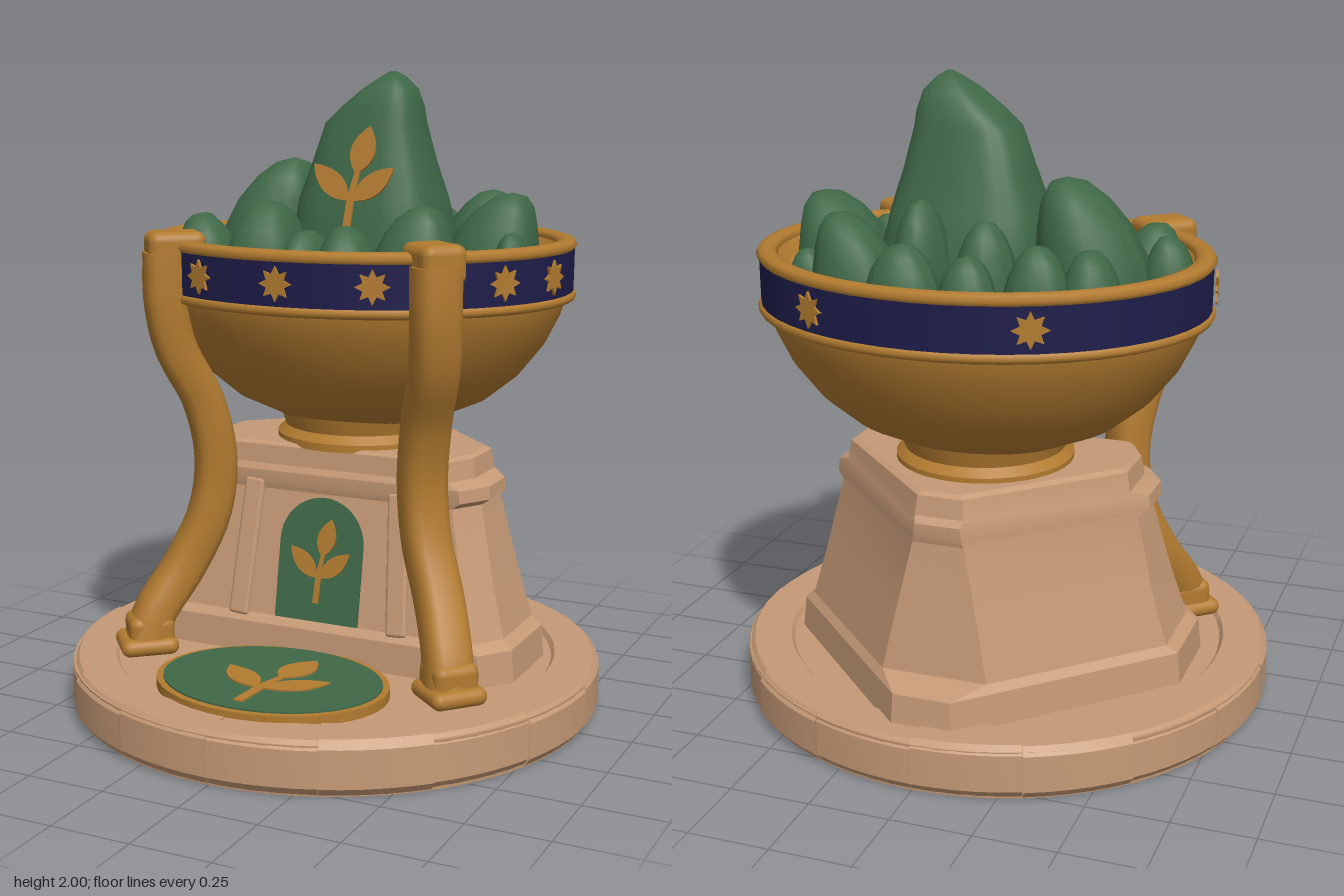
import * as THREE from 'three';
import { toCreasedNormals } from 'three/addons/utils/BufferGeometryUtils.js';
import { RoundedBoxGeometry } from 'three/addons/geometries/RoundedBoxGeometry.js';

const material = (name, color) => Object.assign(new THREE.MeshStandardMaterial({ color }), { name });
const BOWL_Z = -0.2, SQUASH = 0.87, LEG_TURN = 0.85;

export function createModel() {
  const root = new THREE.Group();
  root.name = 'stoneBowlShrine';
  const stone = material('tan stone', 0xc69a76);
  const gold = material('old gold', 0xb27b30);
  const green = material('jade green', 0x3f6847);
  const navy = material('navy blue', 0x1e1d4a);
  navy.side = THREE.DoubleSide;

  const add = (name, geometry, mat, x = 0, y = 0, z = 0, parent = root) => {
    const mesh = new THREE.Mesh(geometry, mat);
    mesh.name = name;
    mesh.position.set(x, y, z);
    parent.add(mesh);
    return mesh;
  };
  const lathe = (pts, segs = 40, start = 0, len = Math.PI * 2) =>
    toCreasedNormals(new THREE.LatheGeometry(pts.map(p => new THREE.Vector2(...p)), segs, start, len), 0.6);
  const soft = (v, e) => Math.sign(v) * Math.abs(v) ** e;

  // Skin over stacked rings of [x, y, z] points, closed at both ends
  const loft = (rings, crease) => {
    const n = rings[0].length, pos = rings.flat(2), index = [];
    for (let r = 0; r < rings.length - 1; r++)
      for (let j = 0; j < n; j++) {
        const a = r * n + j, b = r * n + (j + 1) % n;
        index.push(a, b, a + n, b, b + n, a + n);
      }
    const top = (rings.length - 1) * n;
    for (let j = 1; j < n - 1; j++) index.push(top, top + j, top + j + 1, 0, j + 1, j);
    const g = new THREE.BufferGeometry();
    g.setAttribute('position', new THREE.Float32BufferAttribute(pos, 3));
    g.setIndex(index);
    return toCreasedNormals(g, crease);
  };
  const plate = shape => new THREE.ExtrudeGeometry(shape, { depth: 0.008, bevelEnabled: false, curveSegments: 10 });

  // Sprig emblem: a stem and three leaves, one unit tall
  const leaf = (x0, y0, x1, y1, w) => {
    const dx = x1 - x0, dy = y1 - y0, s = new THREE.Shape();
    s.moveTo(x0, y0);
    s.quadraticCurveTo(x0 + dx * 0.45 + dy * w, y0 + dy * 0.45 - dx * w, x1, y1);
    s.quadraticCurveTo(x0 + dx * 0.45 - dy * w, y0 + dy * 0.45 + dx * w, x0, y0);
    return s;
  };
  const sprig = (name, sx, sy) => {
    const g = new THREE.Group();
    g.name = name;
    const stem = new THREE.Shape([[-0.03, 0], [0.04, 0], [0.055, 0.35], [0.09, 0.62], [0.05, 0.62], [-0.01, 0.35]]
      .map(p => new THREE.Vector2(...p)));
    const shapes = [stem, leaf(0.05, 0.55, 0.14, 1, 0.5), leaf(0, 0.3, -0.36, 0.64, 0.42), leaf(0.04, 0.3, 0.4, 0.62, 0.42)];
    for (const s of shapes) add('sprigPart', plate(s), gold, 0, 0, 0, g).scale.set(sx, sy, 1);
    root.add(g);
    return g;
  };

  // Round base: floor slab and a ring of rim stones
  add('floorSlab', new THREE.CylinderGeometry(0.845, 0.83, 0.155, 60), stone, 0, 0.0775, 0);
  const stones = 16, step = Math.PI * 2 / stones;
  for (let i = 0; i < stones; i++) {
    const r = 0.85 + 0.003 * Math.sin(i * 2.3), h = 0.168 + 0.004 * Math.sin(i * 1.7);
    add('rimStone', lathe([[0.7, 0.005], [r - 0.02, 0.005], [r, 0.03], [r, h - 0.025], [r - 0.02, h], [0.71, h], [0.695, 0.15]],
      5, i * step + 0.001, step - 0.002), stone);
  }

  // Tapered pedestal, broad in front and narrowing to the back:
  // height, half width, front z, back z, reach of the slanted back corners
  const sections = [
    [0.15, 0.64, 0.165, -0.76, 0.855], [0.255, 0.63, 0.16, -0.75, 0.84], [0.28, 0.595, 0.14, -0.65, 0.815],
    [0.45, 0.545, 0.11, -0.63, 0.76], [0.68, 0.49, 0.07, -0.605, 0.685], [0.70, 0.52, 0.075, -0.61, 0.685],
    [0.74, 0.515, 0.075, -0.61, 0.68], [0.76, 0.465, 0.065, -0.595, 0.67], [0.82, 0.455, 0.06, -0.585, 0.655],
    [0.83, 0.44, 0.05, -0.57, 0.63]];
  add('pedestal', loft(sections.map(([y, w, f, b, reach]) => {
    const c = w * 0.88, s = f - 0.1, k = w - reach, a = reach + b;
    return [[-c, y, f], [c, y, f], [w, y, s], [w, y, k], [a, y, b], [-a, y, b], [-w, y, k], [-w, y, s]];
  }), 0.3), stone);
  for (const side of [-1, 1]) {
    const pilaster = add('pilaster', new RoundedBoxGeometry(0.07, 0.45, 0.03, 2, 0.012), stone, side * 0.265, 0.49, 0.102);
    pilaster.rotation.set(-0.173, 0, side * 0.06);
  }

  // Arched door panel with its sprig
  const arch = new THREE.Shape();
  arch.moveTo(-0.145, 0);
  arch.lineTo(0.145, 0);
  arch.lineTo(0.145, 0.25);
  arch.absarc(0, 0.25, 0.145, 0, Math.PI, false);
  const door = add('doorPanel', plate(arch), green, 0, 0.28, 0.139);
  door.rotation.x = -0.173;
  const doorSprig = sprig('doorSprig', 0.27, 0.27);
  doorSprig.position.set(-0.005, 0.34, 0.135);
  doorSprig.rotation.x = -0.173;

  // Oval floor medallion
  add('medallionBorder', new THREE.CylinderGeometry(1, 1, 0.03, 40), gold, 0, 0.173, 0.44).scale.set(0.37, 1, 0.29);
  add('medallionPanel', new THREE.CylinderGeometry(1, 1, 0.008, 40), green, 0, 0.189, 0.44).scale.set(0.349, 1, 0.269);
  const floorSprig = sprig('floorSprig', 0.46, 0.4);
  floorSprig.position.set(0, 0.19, 0.66);
  floorSprig.rotation.x = -Math.PI / 2;

  // Bowl, squashed front to back
  const bowl = new THREE.Group();
  bowl.name = 'bowl';
  bowl.position.z = BOWL_Z;
  bowl.scale.z = SQUASH;
  root.add(bowl);
  add('bowlBody', lathe([[0, 0.9], [0.27, 0.905], [0.42, 0.97], [0.52, 1.05], [0.6, 1.15], [0.645, 1.24], [0.67, 1.31],
    [0.67, 1.47], [0.64, 1.47], [0.6, 1.43], [0.4, 1.4], [0, 1.4]], 48), gold, 0, 0, 0, bowl);
  add('blueBand', new THREE.CylinderGeometry(0.688, 0.686, 0.16, 48, 1, true), navy, 0, 1.39, 0, bowl);
  for (const [name, r, t, y, flat] of [['bowlRim', 0.663, 0.033, 1.467, 0.65], ['lowerTrim', 0.68, 0.016, 1.308, 1]]) {
    const ring = add(name, new THREE.TorusGeometry(r, t, 8, 48), gold, 0, y, 0, bowl);
    ring.rotation.x = Math.PI / 2;
    ring.scale.z = flat;
  }
  add('bowlFoot', lathe([[0, 0.82], [0.275, 0.82], [0.275, 0.845], [0.25, 0.87], [0.265, 0.92], [0, 0.93]]), gold, 0, 0, BOWL_Z);

  // Eight-pointed stars around the band
  const star = new THREE.Shape(Array.from({ length: 16 }, (_, i) => {
    const r = i % 2 ? 0.031 : 0.053, a = i * Math.PI / 8;
    return new THREE.Vector2(r * Math.sin(a), r * Math.cos(a));
  }));
  for (const deg of [0, 24.5, -24.5, 60, -60, 80, -80, 152, -152]) {
    const a = deg * Math.PI / 180, s = Math.sin(a), c = Math.cos(a);
    const mesh = add('bandStar', plate(star), gold, 0.692 * s, 1.39, BOWL_Z + 0.692 * SQUASH * c);
    mesh.rotation.y = Math.atan2(s * SQUASH, c);
  }

  // Curved legs of rounded square section, with square feet and capitals
  const path = [[0.525, 0.18, 0.32], [0.51, 0.28, 0.29], [0.445, 0.43, 0.2], [0.38, 0.6, 0.15], [0.36, 0.78, 0.138],
    [0.385, 0.97, 0.17], [0.44, 1.15, 0.245], [0.455, 1.3, 0.275], [0.455, 1.45, 0.275]];
  for (const side of [-1, 1]) {
    const leg = new THREE.Group();
    leg.name = side > 0 ? 'leftLeg' : 'rightLeg';
    root.add(leg);
    const curve = new THREE.CatmullRomCurve3(path.map(([x, y, z]) => new THREE.Vector3(side * x, y, z)));
    const across = new THREE.Vector3(Math.cos(LEG_TURN), 0, -side * Math.sin(LEG_TURN));
    const rings = Array.from({ length: 31 }, (_, i) => {
      const out = new THREE.Vector3().crossVectors(across, curve.getTangentAt(i / 30)).normalize();
      return Array.from({ length: 16 }, (_, j) => {
        const a = j / 16 * Math.PI * 2;
        return curve.getPointAt(i / 30).addScaledVector(across, 0.073 * soft(Math.sin(a), 0.65))
          .addScaledVector(out, 0.066 * soft(Math.cos(a), 0.65)).toArray();
      });
    });
    add('legShaft', loft(rings, 0.9), gold, 0, 0, 0, leg);
    const blocks = [['foot', 0.18, 0.055, 0.185, 0.525, 0.19, 0.31], ['ankle', 0.145, 0.1, 0.145, 0.52, 0.235, 0.3],
      ['capital', 0.14, 0.12, 0.18, 0.435, 1.455, 0.245]];
    for (const [name, w, h, d, x, y, z] of blocks)
      add(name, new RoundedBoxGeometry(w, h, d, 3, 0.03), gold, side * x, y, z, leg).rotation.y = side * LEG_TURN;
  }

  // Tall central rock: height, left x, right x, front z, back z
  const levels = [[1.38, -0.21, 0.3, 0.005, -0.43], [1.5, -0.205, 0.29, -0.005, -0.415], [1.6, -0.19, 0.27, -0.025, -0.385],
    [1.72, -0.145, 0.235, -0.052, -0.345], [1.84, -0.105, 0.205, -0.078, -0.315], [1.89, -0.05, 0.198, -0.09, -0.3],
    [1.945, 0.02, 0.18, -0.11, -0.275], [1.985, 0.075, 0.14, -0.16, -0.24], [2, 0.1, 0.115, -0.19, -0.21]];
  add('tallRock', loft(levels.map(([y, l, r, f, b]) => Array.from({ length: 24 }, (_, j) => {
    const a = j / 24 * Math.PI * 2;
    return [(l + r) / 2 + (r - l) / 2 * soft(Math.sin(a), 0.62), y, (f + b) / 2 + (f - b) / 2 * soft(Math.cos(a), 0.62)];
  })), 0.7), green);
  const rockSprig = sprig('rockSprig', 0.36, 0.335);
  rockSprig.position.set(0.035, 1.505, 0);
  rockSprig.rotation.x = -0.235;

  // Smaller rocks: x, z, top height, half width, half depth, sideways lean of the peak
  const rocks = [
    [-0.36, -0.26, 1.72, 0.17, 0.19, 0.5], [0.44, -0.23, 1.63, 0.15, 0.17, 0.4], [-0.23, 0.02, 1.6, 0.13, 0.17, 0.1],
    [-0.55, -0.13, 1.54, 0.08, 0.09, 0.1], [-0.46, 0, 1.55, 0.1, 0.11, -0.2], [-0.05, 0.1, 1.52, 0.075, 0.12, 0],
    [0.1, 0.12, 1.54, 0.09, 0.12, -0.1], [0.28, 0.02, 1.6, 0.13, 0.13, 0.2], [0.43, 0.08, 1.5, 0.075, 0.055, 0],
    [-0.42, -0.48, 1.56, 0.09, 0.12, 0.1], [-0.28, -0.55, 1.58, 0.1, 0.1, 0], [-0.1, -0.61, 1.55, 0.085, 0.09, 0],
    [-0.1, -0.47, 1.62, 0.095, 0.1, 0], [0.11, -0.57, 1.56, 0.11, 0.1, 0], [0.11, -0.43, 1.66, 0.09, 0.12, 0],
    [0.29, -0.48, 1.62, 0.13, 0.14, 0.4], [0.44, -0.5, 1.51, 0.06, 0.06, 0], [0.55, -0.09, 1.52, 0.06, 0.08, 0]];
  rocks.forEach(([x, z, top, rx, rz, lean], i) => {
    const g = new THREE.SphereGeometry(1, 14, 10), p = g.attributes.position;
    const h = top - 1.39;
    for (let k = 0; k < p.count; k++) {
      const a = p.getX(k), b = p.getY(k), c = p.getZ(k), up = Math.max(b, 0);
      const bump = (1 + 0.06 * Math.sin(3 * a + i * 1.9) * Math.cos(3 * c + i)) * (1 - 0.12 * up);
      p.setXYZ(k, soft(a, 0.88) * rx * bump + lean * rx * up * up, b * h * (b > 0 ? 1 : 0.2), soft(c, 0.88) * rz * bump);
    }
    g.computeVertexNormals();
    add('smallRock', g, green, x, 1.39, z);
  });
  return root;
}
